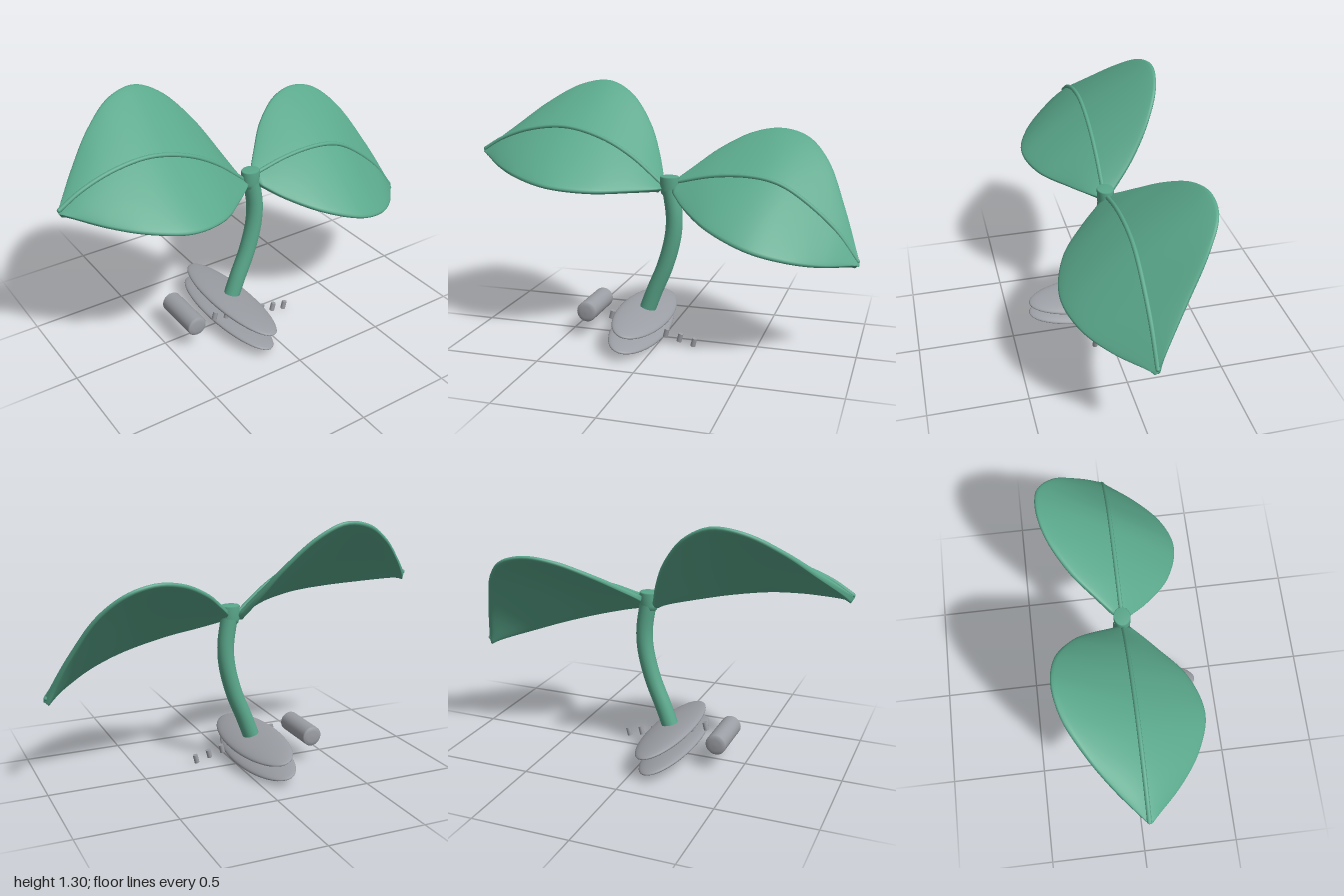
import * as THREE from 'three';

const green = new THREE.MeshStandardMaterial({ color: 0x5aa88c });
green.name = 'leaf green';
const grey = new THREE.MeshStandardMaterial({ color: 0x9b9ea4 });
grey.name = 'metal grey';

const TILT = -0.25;

function curve(points) {
  return new THREE.CatmullRomCurve3(points.map((p) => new THREE.Vector3(...p)));
}

function addMesh(parent, name, geometry, material, position = [0, 0, 0]) {
  const mesh = new THREE.Mesh(geometry, material);
  mesh.name = name;
  mesh.position.set(...position);
  parent.add(mesh);
  return mesh;
}

// Closed sheet with blunt rims, lofted through back edge, midrib and front edge
function bladeGeometry(back, mid, front) {
  const rows = 48, ring = 48, half = 0.017;
  const pos = [], index = [];
  for (let i = 0; i <= rows + 2; i++) {
    const u = THREE.MathUtils.clamp((i - 1) / rows, 0, 1);
    const closed = i === 0 || i === rows + 2;
    const b = back.getPointAt(u), f = front.getPointAt(u), m = mid.getPointAt(u);
    m.y -= 0.026;
    const normal = f.clone().sub(b).cross(mid.getTangentAt(u)).normalize();
    for (let j = 0; j < ring; j++) {
      const a = (j / ring) * Math.PI * 2;
      const s = closed ? 0 : Math.cos(a);
      const lift = closed ? 0 : half * Math.sign(Math.sin(a)) * Math.abs(Math.sin(a)) ** 0.35;
      const p = new THREE.Vector3()
        .addScaledVector(b, (s * (s + 1)) / 2)
        .addScaledVector(m, 1 - s * s)
        .addScaledVector(f, (s * (s - 1)) / 2)
        .addScaledVector(normal, lift);
      pos.push(p.x, p.y, p.z);
    }
  }
  for (let i = 0; i < rows + 2; i++) {
    for (let j = 0; j < ring; j++) {
      const k = (j + 1) % ring;
      const a = i * ring + j, b = i * ring + k, c = a + ring, d = b + ring;
      index.push(a, b, d, a, d, c);
    }
  }
  const geometry = new THREE.BufferGeometry();
  geometry.setAttribute('position', new THREE.Float32BufferAttribute(pos, 3));
  geometry.setIndex(index);
  geometry.computeVertexNormals();
  return geometry;
}

function makeLeaf(name, backPts, midPts, frontPts) {
  const leaf = new THREE.Group();
  leaf.name = name;
  const mid = curve(midPts);
  addMesh(leaf, 'blade', bladeGeometry(curve(backPts), mid, curve(frontPts)), green);
  addMesh(leaf, 'midrib', new THREE.TubeGeometry(mid, 48, 0.011, 10), green);
  for (const p of [midPts[0], midPts[midPts.length - 1]]) {
    addMesh(leaf, 'midribEnd', new THREE.SphereGeometry(0.011, 10, 8), green, p);
  }
  return leaf;
}

export function createModel() {
  const model = new THREE.Group();
  model.name = 'sprout';

  // Two leaves, each sloping down toward the front
  model.add(makeLeaf('rightLeaf',
    [[-0.985, 0.95, -0.015], [-0.86, 1.065, -0.135], [-0.72, 1.187, -0.245], [-0.56, 1.28, -0.333],
      [-0.41, 1.301, -0.362], [-0.275, 1.235, -0.34], [-0.145, 1.085, -0.255], [-0.07, 0.945, -0.16], [-0.01, 0.81, -0.045]],
    [[-0.99, 0.96, 0], [-0.88, 1.024, 0], [-0.72, 1.078, 0], [-0.53, 1.096, 0],
      [-0.34, 1.05, 0], [-0.18, 0.965, 0], [-0.01, 0.825, 0]],
    [[-0.985, 0.938, 0.015], [-0.83, 0.897, 0.17], [-0.68, 0.867, 0.275], [-0.5, 0.838, 0.333],
      [-0.3, 0.814, 0.28], [-0.13, 0.802, 0.145], [-0.01, 0.796, 0.035]]));
  model.add(makeLeaf('leftLeaf',
    [[0.06, 0.84, -0.045], [0.135, 0.9, -0.125], [0.24, 0.98, -0.23], [0.395, 1.058, -0.325],
      [0.54, 1.08, -0.362], [0.675, 1.043, -0.353], [0.79, 0.935, -0.275], [0.89, 0.735, -0.145], [0.977, 0.513, -0.015]],
    [[0.06, 0.838, 0], [0.25, 0.88, 0], [0.42, 0.89, 0], [0.55, 0.872, 0],
      [0.65, 0.828, 0], [0.86, 0.66, 0], [0.984, 0.5, 0]],
    [[0.06, 0.785, 0.04], [0.14, 0.735, 0.14], [0.29, 0.668, 0.27], [0.5, 0.594, 0.333],
      [0.68, 0.543, 0.285], [0.83, 0.505, 0.175], [0.973, 0.478, 0.015]]));

  // Bent stem with a small cup on top
  const stemPath = curve([[-0.095, 0.13, 0], [-0.05, 0.25, 0], [0.011, 0.4, 0],
    [0.05, 0.55, 0], [0.057, 0.66, 0], [0.038, 0.8, 0]]);
  addMesh(model, 'stem', new THREE.TubeGeometry(stemPath, 40, 0.043, 24), green);
  const cup = [[0, -0.06], [0.025, -0.055], [0.042, -0.042], [0.048, -0.02], [0.05, 0.044], [0.046, 0.05], [0, 0.05]]
    .map((p) => new THREE.Vector2(...p));
  addMesh(model, 'stemTop', new THREE.LatheGeometry(cup, 24), green, [0.032, 0.817, 0]).scale.z = 0.85;

  // Tilted lens-shaped discs
  for (const [name, x, y] of [['upperDisc', -0.097, 0.132], ['lowerDisc', -0.117, 0.051]]) {
    const disc = addMesh(model, name, new THREE.SphereGeometry(1, 48, 24), grey, [x, y, 0]);
    disc.scale.set(0.133, 0.031, 0.392);
    disc.rotation.z = TILT;
  }

  // Round bar lying front to back, with slightly domed ends
  const bar = [[0, -0.14], [0.03, -0.139], [0.048, -0.135], [0.053, -0.128],
    [0.053, 0.128], [0.048, 0.135], [0.03, 0.139], [0, 0.14]].map((p) => new THREE.Vector2(...p));
  addMesh(model, 'bar', new THREE.LatheGeometry(bar, 32), grey, [-0.381, 0.145, 0]).rotation.x = Math.PI / 2;

  // Row of small pegs
  for (let i = 0; i < 7; i++) {
    const peg = addMesh(model, 'peg', new THREE.CylinderGeometry(0.013, 0.013, 0.044, 16), grey,
      [-0.251 + i * 0.0735, 0.134 - i * 0.0177, 0.093]);
    peg.rotation.z = TILT;
  }
  return model;
}
